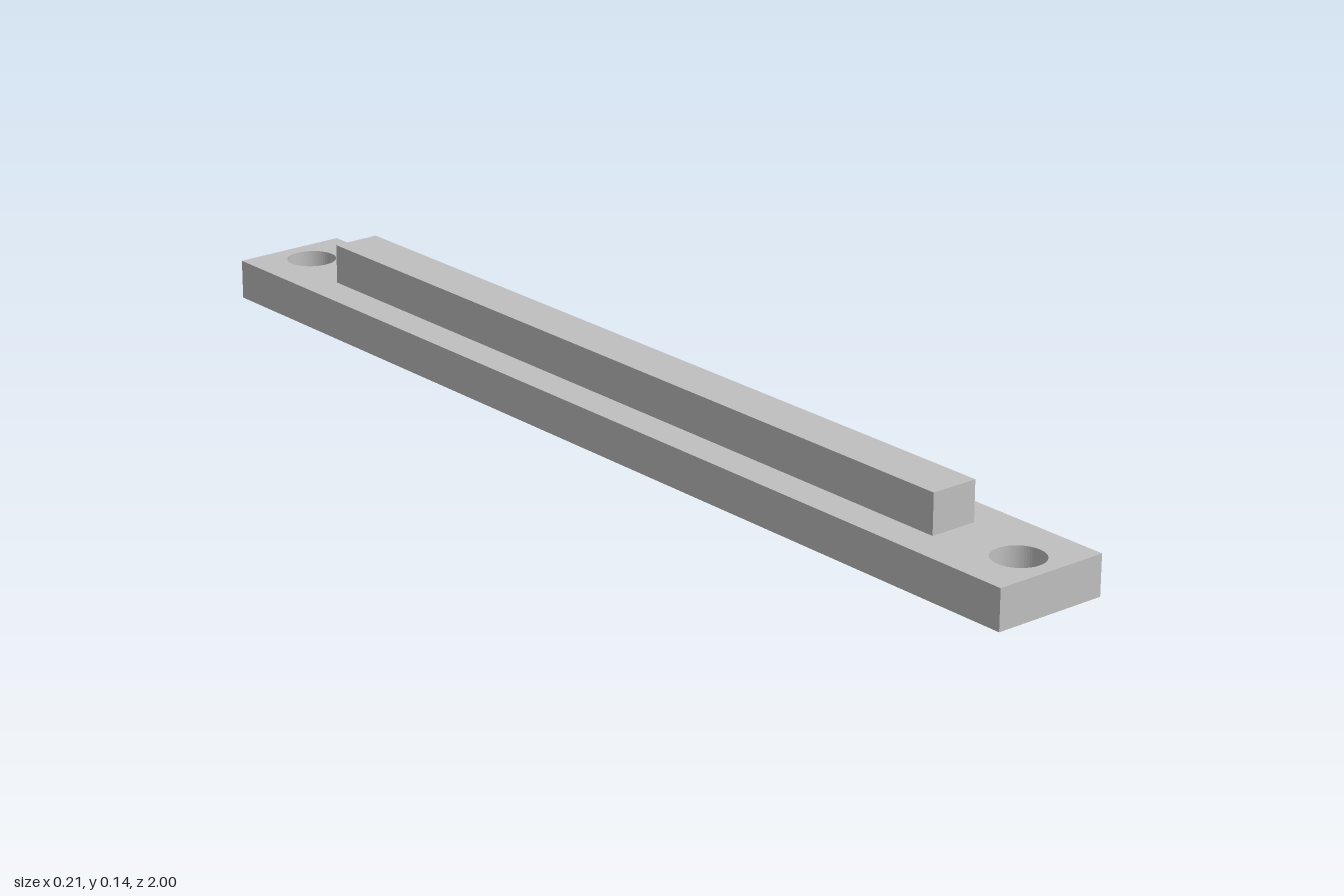
import * as THREE from 'three';

const BASE = { width: 0.214, height: 0.0715, length: 2 };
const RAIL = { width: 0.088, height: 0.0715, length: 1.572 };
const HOLE = { radius: 0.045, z: 0.929 };

export function createModel() {
  const group = new THREE.Group();
  group.name = 'mountingRail';
  const grey = new THREE.MeshStandardMaterial({ color: 0xbfbfbf });
  grey.name = 'light grey';

  // Flat base bar with a screw hole through each end
  const w = BASE.width / 2, l = BASE.length / 2;
  const outline = new THREE.Shape();
  outline.moveTo(-w, -l).lineTo(w, -l).lineTo(w, l).lineTo(-w, l).closePath();
  for (const side of [-1, 1]) {
    const hole = new THREE.Path();
    hole.absarc(0, side * HOLE.z, HOLE.radius, 0, Math.PI * 2, true);
    outline.holes.push(hole);
  }
  const baseGeometry = new THREE.ExtrudeGeometry(outline, {
    depth: BASE.height, bevelEnabled: false, curveSegments: 32,
  });
  baseGeometry.rotateX(-Math.PI / 2);
  const base = new THREE.Mesh(baseGeometry, grey);
  base.name = 'baseBar';
  group.add(base);

  // Raised rib along the middle
  const rail = new THREE.Mesh(
    new THREE.BoxGeometry(RAIL.width, RAIL.height, RAIL.length), grey);
  rail.name = 'raisedRib';
  rail.position.y = BASE.height + RAIL.height / 2;
  group.add(rail);

  return group;
}
